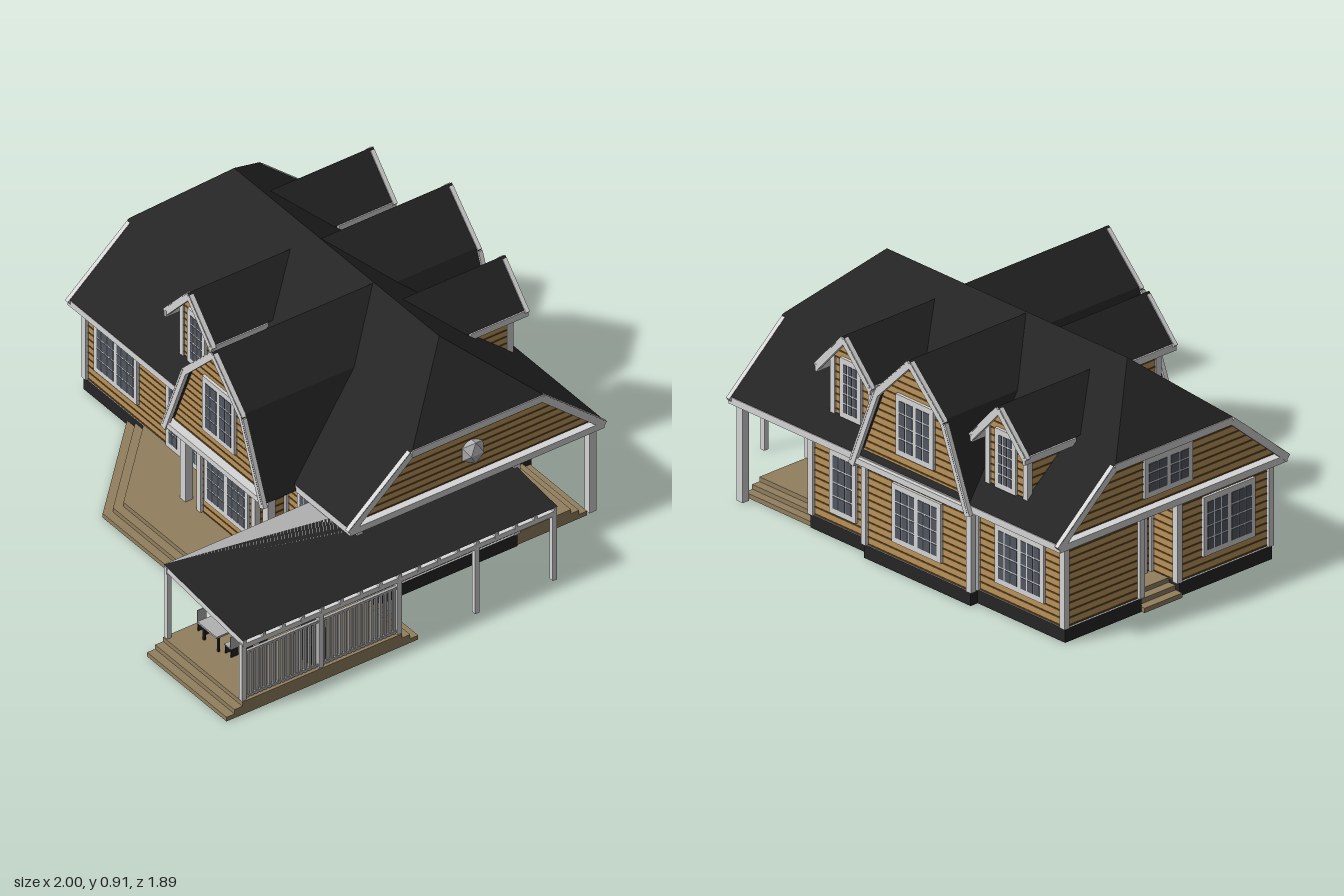
import * as THREE from 'three';
import { mergeGeometries } from 'three/addons/utils/BufferGeometryUtils.js';

const material = (name, color, side = THREE.FrontSide) => {
  const m = new THREE.MeshStandardMaterial({ color, side });
  m.name = name;
  return m;
};

export function createModel() {
  const house = new THREE.Group();
  house.name = 'house';
  const roofing = material('black roofing', 0x242424, THREE.DoubleSide);
  const timber = material('timber siding', 0xbb9358);
  const groove = material('siding groove', 0x5f4828);
  const white = material('white trim', 0xd6d6d6, THREE.DoubleSide);
  const glass = material('window glass', 0x525862);
  const decking = material('deck boards', 0x92805f);
  const plinthMat = material('dark plinth', 0x252527);
  const grey = material('pale grey', 0xb2b2b2, THREE.DoubleSide);

  const add = (name, geometry, mat, parent = house) => {
    const mesh = new THREE.Mesh(geometry, mat);
    mesh.name = name;
    parent.add(mesh);
    return mesh;
  };
  const boxGeo = (x0, x1, y0, y1, z0, z1) =>
    new THREE.BoxGeometry(x1 - x0, y1 - y0, z1 - z0).translate((x0 + x1) / 2, (y0 + y1) / 2, (z0 + z1) / 2);
  const box = (name, mat, x0, x1, y0, y1, z0, z1, parent) => add(name, boxGeo(x0, x1, y0, y1, z0, z1), mat, parent);

  // Flat convex polygon in space
  const poly = (name, mat, pts, parent) => {
    const v = [];
    for (let i = 1; i < pts.length - 1; i++) v.push(...pts[0], ...pts[i], ...pts[i + 1]);
    const g = new THREE.BufferGeometry();
    g.setAttribute('position', new THREE.Float32BufferAttribute(v, 3));
    g.computeVertexNormals();
    return add(name, g, mat, parent);
  };
  // Straight board between two points
  const bar = (name, mat, a, b, w, h, parent) => {
    const p = new THREE.Vector3(...a), q = new THREE.Vector3(...b);
    const m = add(name, new THREE.BoxGeometry(w, h, p.distanceTo(q)), mat, parent);
    m.quaternion.setFromRotationMatrix(new THREE.Matrix4().lookAt(q, p, new THREE.Vector3(0, 1, 0)));
    m.position.copy(p).add(q).multiplyScalar(0.5);
  };
  // Plan outline [x, z] extruded upward
  const slab = (name, mat, plan, y0, y1) => {
    const shape = new THREE.Shape(plan.map(([x, z]) => new THREE.Vector2(x, -z)));
    const g = new THREE.ExtrudeGeometry(shape, { depth: y1 - y0, bevelEnabled: false });
    return add(name, g.rotateX(-Math.PI / 2).translate(0, y0, 0), mat);
  };

  // Siding wall with grooves; runs left to right as seen from outside
  const wall = (name, [x0, z0], [x1, z1], outline, parent = house) => {
    const g = new THREE.Group();
    g.name = name;
    g.position.set(x0, 0, z0);
    g.rotation.y = Math.atan2(z0 - z1, x1 - x0);
    parent.add(g);
    const L = Math.hypot(x1 - x0, z1 - z0);
    const pts = outline || [[0, 0.055], [L, 0.055], [L, 0.39], [0, 0.39]];
    add('boards', new THREE.ShapeGeometry(new THREE.Shape(pts.map(p => new THREE.Vector2(...p)))), timber, g);
    const lines = [];
    for (let y = 0.058; y < 0.9; y += 0.03) {
      const hits = [];
      pts.forEach(([ax, ay], i) => {
        const [bx, by] = pts[(i + 1) % pts.length];
        if ((ay > y) !== (by > y)) hits.push(ax + (bx - ax) * (y - ay) / (by - ay));
      });
      const a = Math.min(...hits), b = Math.max(...hits);
      if (hits.length && b - a > 0.01) lines.push(boxGeo(a, b, y - 0.003, y + 0.003, -0.002, 0.002));
    }
    if (lines.length) add('grooves', mergeGeometries(lines), groove, g);
    return g;
  };
  // Framed window or glazed door with muntins
  const glazing = (g, name, x0, x1, y0, y1, sashes, cols, rows) => {
    box(name + 'Frame', white, x0, x1, y0, y1, 0, 0.012, g);
    const panes = [], m = 0.02, sw = (x1 - x0 - m) / sashes, ph = (y1 - y0 - 2 * m) / rows;
    for (let s = 0; s < sashes; s++) for (let c = 0; c < cols; c++) for (let r = 0; r < rows; r++) {
      const pw = (sw - m * 0.7) / cols;
      const px = x0 + m * 0.85 + s * sw + c * pw, py = y0 + m + r * ph;
      panes.push(boxGeo(px + 0.003, px + pw - 0.003, py + 0.003, py + ph - 0.003, 0.008, 0.014));
    }
    add(name + 'Panes', mergeGeometries(panes), glass, g);
  };

  // Ground floor: outline of walls, with bays, back porch and side entry
  const plan = [[-0.96, 0.16], [-0.05, 0.16], [-0.05, 0.3], [0.29, 0.3], [0.29, 0.16], [0.735, 0.16],
    [0.735, -0.55], [0.38, -0.55], [0.38, -0.87], [0.06, -0.87], [0.06, -0.905], [-0.5, -0.905],
    [-0.5, -0.87], [-0.96, -0.87], [-0.96, -0.49], [-0.82, -0.49], [-0.82, -0.3], [-0.96, -0.3]];
  const walls = plan.map((p, i) => wall('wall' + i, p, plan[(i + 1) % plan.length]));
  plan.forEach(([x, z]) => box('cornerTrim', white, x - 0.013, x + 0.013, 0.055, 0.39, z - 0.013, z + 0.013));
  slab('plinth', [grey, plinthMat],
    plan.map(([x, z]) => [-0.11 + (x + 0.11) * 1.012, -0.35 + (z + 0.35) * 1.012]), 0, 0.055);
  glazing(walls[0], 'frontWindow', 0.06, 0.33, 0.13, 0.36, 2, 3, 4);
  glazing(walls[0], 'frenchDoors', 0.51, 0.82, 0.058, 0.365, 4, 2, 5);
  glazing(walls[2], 'bayWindow', 0.035, 0.305, 0.125, 0.355, 2, 3, 4);
  glazing(walls[4], 'frontDoor', 0.08, 0.2, 0.058, 0.365, 1, 3, 5);
  glazing(walls[4], 'smallWindow', 0.26, 0.385, 0.16, 0.335, 1, 3, 3);
  glazing(walls[6], 'porchDoor', 0.13, 0.26, 0.058, 0.36, 1, 2, 4);
  glazing(walls[8], 'backNarrowWindow', 0.1, 0.24, 0.1, 0.36, 1, 3, 4);
  glazing(walls[10], 'backBayWindow', 0.15, 0.41, 0.12, 0.36, 2, 3, 4);
  glazing(walls[12], 'backWindow', 0.1, 0.36, 0.12, 0.36, 2, 3, 4);
  glazing(walls[15], 'sideDoor', 0.03, 0.16, 0.058, 0.36, 1, 2, 4);
  glazing(walls[17], 'sideWindow', 0.12, 0.38, 0.12, 0.36, 2, 3, 4);

  // Main roof with clipped gables
  const ridgeZ = -0.355, pitch = 0.852;
  const dist = y => (0.91 - y) / pitch;
  for (const s of [1, -1]) {
    const e = ridgeZ + s * 0.575, k = ridgeZ + s * 0.295;
    poly('roofSlope', roofing, [[-0.75, 0.91, ridgeZ], [-1, 0.66, k], [-1, 0.42, e],
      [0.77, 0.42, e], [0.77, 0.66, k], [0.53, 0.91, ridgeZ]]);
    for (const x of [-0.99, 0.76]) bar('rakeBoard', white, [x, 0.402, e], [x, 0.642, k], 0.018, 0.03);
  }
  for (const [x, r] of [[-1, -0.75], [0.77, 0.53]]) {
    poly('hip', roofing, [[x, 0.66, -0.65], [x, 0.66, -0.06], [r, 0.91, ridgeZ]]);
    bar('hipFascia', white, [x * 0.99, 0.642, -0.65], [x * 0.99, 0.642, -0.06], 0.018, 0.03);
  }
  box('eaves', white, -0.998, 0.768, 0.388, 0.416, -0.928, 0.218);
  const gableEnd = [[0, 0.415], [1.14, 0.415], [0.87, 0.645], [0.27, 0.645]];
  wall('rightGable', [0.735, 0.215], [0.735, -0.925], gableEnd);
  const leftGable = wall('leftGable', [-0.96, -0.925], [-0.96, 0.215], gableEnd);
  glazing(leftGable, 'leftGableWindow', 0.45, 0.69, 0.45, 0.61, 2, 2, 3);

  // Cross gable or dormer: half profile from eave to apex, run out from the ridge
  const crossGable = (name, cx, back, zf, profile, inset, wallPts) => {
    const g = new THREE.Group();
    g.name = name;
    g.position.set(cx, 0, ridgeZ);
    g.rotation.y = back ? Math.PI : 0;
    house.add(g);
    for (const s of [-1, 1]) for (let i = 0; i < profile.length - 1; i++) {
      const [ax, ay] = profile[i], [bx, by] = profile[i + 1];
      poly(name + 'Roof', roofing, [[s * ax, ay, zf], [s * bx, by, zf],
        [s * bx, by, dist(by)], [s * ax, ay, Math.min(dist(ay), 0.575)]], g);
      bar(name + 'Trim', white, [s * ax, ay - 0.015, zf - 0.01], [s * bx, by - 0.015, zf - 0.01], 0.018, 0.028, g);
    }
    return [g, wall(name + 'Wall', [0, zf - inset], [1, zf - inset], wallPts, g)];
  };
  const gambrel = [[0.31, 0.395], [0.18, 0.725], [0, 0.907]];
  const gambrelWall = [[-0.295, 0.405], [0.295, 0.405], [0.17, 0.715], [0, 0.885], [-0.17, 0.715]];
  for (const [name, cx, back, zf] of [['frontGable', 0.12, false, 0.73], ['backGable', -0.215, true, 0.595]]) {
    const [g, w] = crossGable(name, cx, back, zf, gambrel, 0.04, gambrelWall);
    glazing(w, 'gableWindow', -0.1, 0.1, 0.485, 0.73, 2, 2, 4);
    box('gableEaves', white, -0.3, 0.3, 0.388, 0.412, 0.5, zf - 0.005, g);
  }
  for (const [cx, back] of [[-0.295, false], [-0.63, true], [0.195, true]]) {
    const [g, w] = crossGable('dormer', cx, back, 0.54, [[0.145, 0.688], [0, 0.846]], 0.05,
      [[-0.105, 0.48], [0.105, 0.48], [0.105, 0.72], [0, 0.832], [-0.105, 0.72]]);
    glazing(w, 'dormerWindow', -0.055, 0.055, 0.49, 0.73, 1, 3, 5);
    wall('dormerSide', [-0.105, 0.22], [-0.105, 0.49], [[0.27, 0.48], [0.27, 0.72], [0, 0.72]], g);
    wall('dormerSide', [0.105, 0.49], [0.105, 0.22], [[0, 0.48], [0.27, 0.72], [0, 0.72]], g);
    for (const x of [-0.1, 0.1]) box('dormerCorner', white, x - 0.012, x + 0.012, 0.48, 0.72, 0.47, 0.496, g);
    for (const s of [-1, 1]) bar('dormerFascia', white, [s * 0.14, 0.67, 0.54], [s * 0.14, 0.67, 0.28], 0.012, 0.028, g);
  }

  // Stepped decks
  for (let i = 0; i < 3; i++) {
    const o = i * 0.036, y0 = i * 0.019, y1 = y0 + 0.019;
    slab('frontDeck', decking, [[-0.7 + 1.414 * o, 0.165], [-0.285 + 0.414 * o, 0.575 - o],
      [0.505, 0.575 - o], [0.505, 0.165]], y0, y1);
    box('terrace', decking, 0.505, 1, y0, y1, 0.165, 0.945 - o);
    box('terraceBackSteps', decking, 0.748, 1, y0, y1, 0.08 + o, 0.165);
    box('backPorchDeck', decking, 0.385, 0.74, y0, y1, -0.87 + o, -0.55);
    box('sideEntrySteps', decking, -0.985 + o, -0.82, y0, y1, -0.49, -0.3);
  }

  // Columns
  for (const x of [-0.14, 0.375]) box('porchColumn', white, x - 0.017, x + 0.017, 0.055, 0.39, 0.285, 0.319);
  box('backPorchPost', white, 0.705, 0.737, 0, 0.39, -0.915, -0.883);

  // Lean-to canopy over the terrace and side yard
  const top = x => 0.386 - 0.11 * (x - 0.505);
  const at = (x, z, d = 0) => [x, top(x) - d, z];
  poly('canopyRoof', roofing, [at(0.505, 0.87), at(1, 0.87), at(1, -0.55), at(0.74, -0.55), at(0.74, 0.16)]);
  poly('canopyClearPanel', grey, [at(0.505, 0.87), at(0.74, 0.16), at(0.505, 0.16)]);
  for (let i = 0; i <= 16; i++) {
    const z = 0.86 - i * 0.0875;
    bar('rafter', white, at(z > 0.16 ? 0.505 : 0.74, z, 0.016), at(0.998, z, 0.016), 0.014, 0.026);
  }
  box('canopyBeam', white, 0.975, 0.995, 0.29, 0.312, -0.55, 0.87);
  bar('canopyInnerBeam', white, at(0.515, 0.87, 0.02), at(0.515, 0.17, 0.02), 0.016, 0.03);
  for (const z of [0.862, 0.515, 0.16, -0.19, -0.54])
    box('canopyPost', white, 0.976, 0.996, z > 0.1 ? 0.05 : 0, 0.31, z - 0.01, z + 0.01);
  box('canopyFrontPost', white, 0.507, 0.525, 0.05, 0.37, 0.85, 0.868);

  // Slatted wind screen
  const slats = [boxGeo(0.98, 0.992, 0.262, 0.272, 0.16, 0.86), boxGeo(0.98, 0.992, 0.065, 0.075, 0.16, 0.86)];
  for (let z = 0.18; z < 0.86; z += 0.02) slats.push(boxGeo(0.982, 0.99, 0.06, 0.27, z - 0.006, z + 0.006));
  add('slatScreen', mergeGeometries(slats), grey);

  // Terrace table, benches and grill
  box('tableTop', grey, 0.59, 0.71, 0.13, 0.138, 0.55, 0.78);
  for (const x of [0.605, 0.695]) for (const z of [0.57, 0.76])
    box('tableLeg', plinthMat, x - 0.004, x + 0.004, 0.055, 0.13, z - 0.004, z + 0.004);
  for (const s of [-1, 1]) for (const z of [0.6, 0.665, 0.73]) {
    const x = 0.65 + s * 0.085;
    box('chairSeat', grey, x - 0.02, x + 0.02, 0.095, 0.1, z - 0.02, z + 0.02);
    box('chairBack', grey, x + s * 0.018 - 0.002, x + s * 0.018 + 0.002, 0.1, 0.15, z - 0.02, z + 0.02);
    for (const k of [-1, 1]) box('chairLeg', plinthMat, x + k * 0.017 - 0.002, x + k * 0.017 + 0.002, 0.055, 0.095, z - 0.017, z + 0.017);
  }
  box('grillBody', plinthMat, 0.87, 0.97, 0.057, 0.15, 0.46, 0.54);
  box('grillHood', plinthMat, 0.89, 0.97, 0.15, 0.2, 0.47, 0.53);
  box('grillShelf', plinthMat, 0.84, 0.87, 0.13, 0.14, 0.47, 0.53);
  bar('grillTool', grey, [0.835, 0.06, 0.5], [0.825, 0.21, 0.5], 0.01, 0.01);

  // Faceted wall lamps on the right side
  for (const [y, z, r] of [[0.52, -0.35, 0.055], [0.155, -0.055, 0.03]]) {
    const lamp = add('wallLamp', new THREE.IcosahedronGeometry(r, 0), grey);
    lamp.position.set(0.745, y, z);
    lamp.scale.x = 0.7;
  }
  return house;
}
